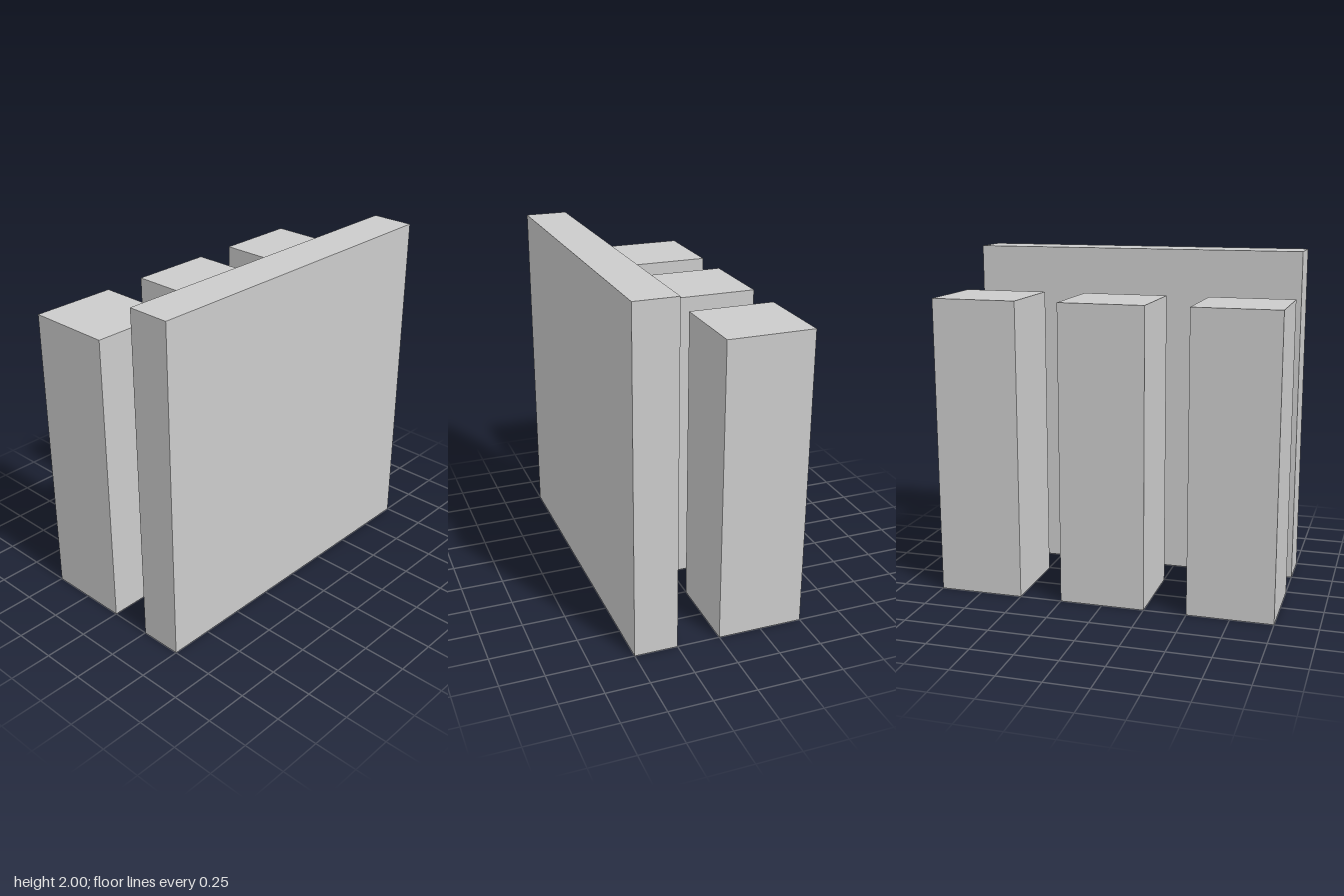
import * as THREE from 'three';

export function createModel() {
  const model = new THREE.Group();
  const material = new THREE.MeshStandardMaterial({ color: 0xcccccc, flatShading: true });

  // A box standing on the ground
  const addBlock = (name, width, height, depth, x, z) => {
    const mesh = new THREE.Mesh(new THREE.BoxGeometry(width, height, depth), material);
    mesh.name = name;
    mesh.position.set(x, height / 2, z);
    model.add(mesh);
  };

  // Tall wall slab on the left side
  addBlock('wall', 0.25, 2, 2, 0.375, 0);

  // Row of three square pillars beside the wall
  ['backPillar', 'middlePillar', 'frontPillar'].forEach((name, i) => {
    addBlock(name, 0.5, 1.75, 0.5, -0.25, (i - 1) * 0.75);
  });

  return model;
}
